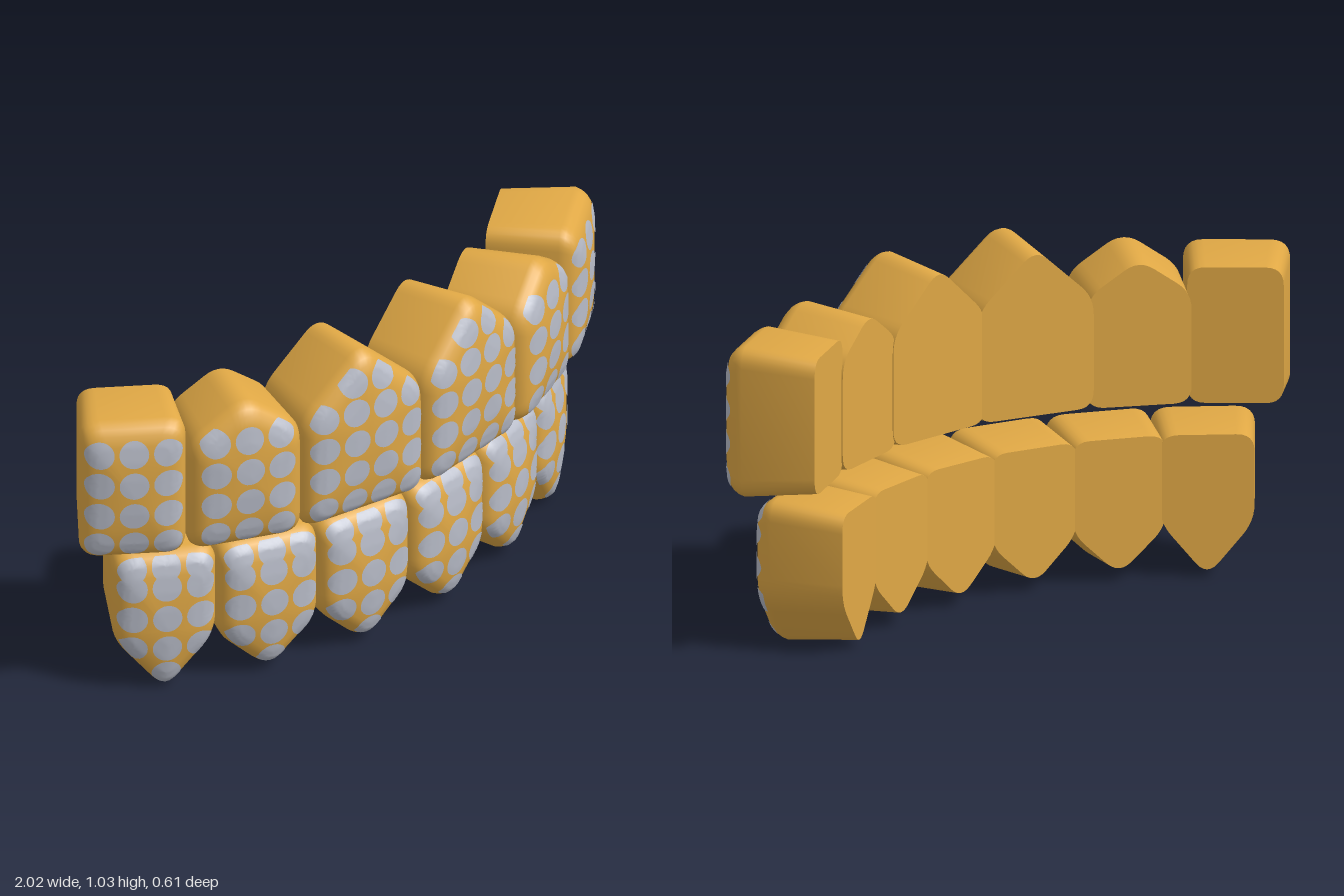
import * as THREE from 'three';
import { mergeGeometries, toCreasedNormals } from 'three/addons/utils/BufferGeometryUtils.js';

const DEPTH = 0.22;       // slab thickness behind the domed face
const BACK_SCALE = 0.9;   // slab narrows toward the back
// domed face: [scale of outline, height above slab front]
const DOME = [[1, 0], [0.975, 0.018], [0.93, 0.034], [0.86, 0.048], [0.72, 0.058], [0.5, 0.066], [0.25, 0.071], [0, 0.073]];

function domeHeight(s) {
  for (let i = 1; i < DOME.length; i++) {
    const [s0, h0] = DOME[i - 1], [s1, h1] = DOME[i];
    if (s >= s1) return h0 + (h1 - h0) * (s0 - s) / (s0 - s1);
  }
  return DOME[DOME.length - 1][1];
}

// convex outline with each corner rounded by a quadratic curve
function roundedOutline(corners, cut = 0.06, steps = 6) {
  const pts = [], n = corners.length;
  corners.forEach((c, i) => {
    const toward = (q) => c.clone().add(q.clone().sub(c).setLength(cut));
    const curve = new THREE.QuadraticBezierCurve(toward(corners[(i + n - 1) % n]), c, toward(corners[(i + 1) % n]));
    pts.push(...curve.getPoints(steps));
  });
  return pts;
}

function buildGeometry(positions, index) {
  const g = new THREE.BufferGeometry();
  g.setAttribute('position', new THREE.Float32BufferAttribute(positions, 3));
  g.setIndex(index);
  return g;
}

// tooth body: scaled copies of the outline, from the back cap to the dome centre
function bodyGeometry(outline) {
  const rings = [[0, -DEPTH], [BACK_SCALE, -DEPTH], ...DOME];
  const n = outline.length, pos = [], idx = [];
  for (const [s, z] of rings) for (const p of outline) pos.push(p.x * s, p.y * s, z);
  for (let k = 0; k < rings.length - 1; k++) {
    for (let i = 0; i < n; i++) {
      const j = (i + 1) % n;
      const a = k * n + i, b = k * n + j, c = b + n, d = a + n;
      if (rings[k][0] > 0) idx.push(a, b, c);
      if (rings[k + 1][0] > 0) idx.push(a, c, d);
      else if (rings[k][0] > 0) continue;
    }
  }
  return toCreasedNormals(buildGeometry(pos, idx), 0.65);
}

// fraction of the outline at which a point lies (1 = on the outline)
function outlineFraction(outline, x, y) {
  let s = 0;
  outline.forEach((a, i) => {
    const b = outline[(i + 1) % outline.length];
    const nx = b.y - a.y, ny = a.x - b.x;
    const d = nx * a.x + ny * a.y;
    if (d > 1e-9) s = Math.max(s, (nx * x + ny * y) / d);
  });
  return s;
}

// thin round inlay that follows the dome
function dotGeometry(outline, cx, cy, radius = 0.044) {
  const segs = 24, rings = 5, limit = 0.95, pos = [], idx = [];
  const add = (x, y) => {
    const s = outlineFraction(outline, x, y), f = s > limit ? limit / s : 1;
    pos.push(x * f, y * f, domeHeight(Math.min(s, limit)) + 0.003);
  };
  add(cx, cy);
  for (let r = 1; r <= rings; r++) {
    for (let i = 0; i < segs; i++) {
      const t = i / segs * Math.PI * 2, q = radius * r / rings;
      add(cx + Math.cos(t) * q, cy + Math.sin(t) * q);
    }
  }
  for (let i = 0; i < segs; i++) {
    const j = (i + 1) % segs;
    idx.push(0, 1 + i, 1 + j);
    for (let r = 0; r < rings - 1; r++) {
      const a = 1 + r * segs + i, b = 1 + r * segs + j;
      idx.push(a, a + segs, b + segs, a, b + segs, b);
    }
  }
  const g = buildGeometry(pos, idx);
  g.computeVertexNormals();
  return g;
}

// one row entry per tooth of the half arch; flat = straight edge, tip = pointed edge
const UPPER = [
  { name: 'upperCentralTooth', x: 0.21, z: 0.22, yaw: 9, width: 0.425, flat: 0.49, shoulder: 0.865, tip: 1.055, cols: 4 },
  { name: 'upperLateralTooth', x: 0.58, z: 0.12, yaw: 24, width: 0.35, flat: 0.49, shoulder: 0.865, tip: 0.985, cols: 3 },
  { name: 'upperOuterTooth', x: 0.872, z: -0.043, yaw: 37, width: 0.315, flat: 0.49, shoulder: 0.95, cols: 3 },
];
const LOWER = [
  { name: 'lowerCentralTooth', x: 0.16, z: 0.17, yaw: 7, width: 0.322, flat: 0.46, shoulder: 0.15, tip: 0, cols: 3 },
  { name: 'lowerLateralTooth', x: 0.47, z: 0.097, yaw: 19.5, width: 0.32, flat: 0.46, shoulder: 0.15, tip: 0, cols: 3 },
  { name: 'lowerOuterTooth', x: 0.75, z: -0.04, yaw: 32.5, width: 0.31, flat: 0.46, shoulder: 0.165, tip: -0.02, cols: 3 },
];
const UPPER_ROWS = [0.555, 0.657, 0.76, 0.862, 0.955];
const LOWER_ROWS = [0.06, 0.152, 0.255, 0.357, 0.42];

export function createModel() {
  const gold = new THREE.MeshStandardMaterial({ color: 0xe0a845 });
  gold.name = 'gold';
  const silver = new THREE.MeshStandardMaterial({ color: 0xb8bcc8 });
  silver.name = 'silver';

  function makeTooth(t, side, rows) {
    const w = t.width / 2;
    const far = t.tip ?? t.shoulder;
    const midY = (t.flat + far) / 2;
    const corners = [[-w, t.flat], [w, t.flat], [w, t.shoulder]];
    if (t.tip !== undefined) corners.push([0, t.tip]);
    corners.push([-w, t.shoulder]);
    if (far < t.flat) corners.reverse();
    const outline = roundedOutline(corners.map(([x, y]) => new THREE.Vector2(x, y - midY)));

    const tooth = new THREE.Group();
    tooth.name = t.name + (side > 0 ? 'Left' : 'Right');
    const body = new THREE.Mesh(bodyGeometry(outline), gold);
    body.name = 'toothBody';

    // grid of inlays across the face
    const dots = [];
    for (const y of rows) {
      for (let c = 0; c < t.cols; c++) {
        const x = (c - (t.cols - 1) / 2) * 0.102;
        if (outlineFraction(outline, x, y - midY) < 0.9) dots.push(dotGeometry(outline, x, y - midY));
      }
    }
    const inlays = new THREE.Mesh(mergeGeometries(dots), silver);
    inlays.name = 'inlayDots';

    tooth.add(body, inlays);
    tooth.position.set(side * t.x, midY, t.z);
    tooth.rotation.y = side * THREE.MathUtils.degToRad(t.yaw);
    return tooth;
  }

  const model = new THREE.Group();
  model.name = 'toothCaps';
  for (const [name, row, rows] of [['upperRow', UPPER, UPPER_ROWS], ['lowerRow', LOWER, LOWER_ROWS]]) {
    const arch = new THREE.Group();
    arch.name = name;
    for (const t of row) for (const side of [1, -1]) arch.add(makeTooth(t, side, rows));
    model.add(arch);
  }
  return model;
}
